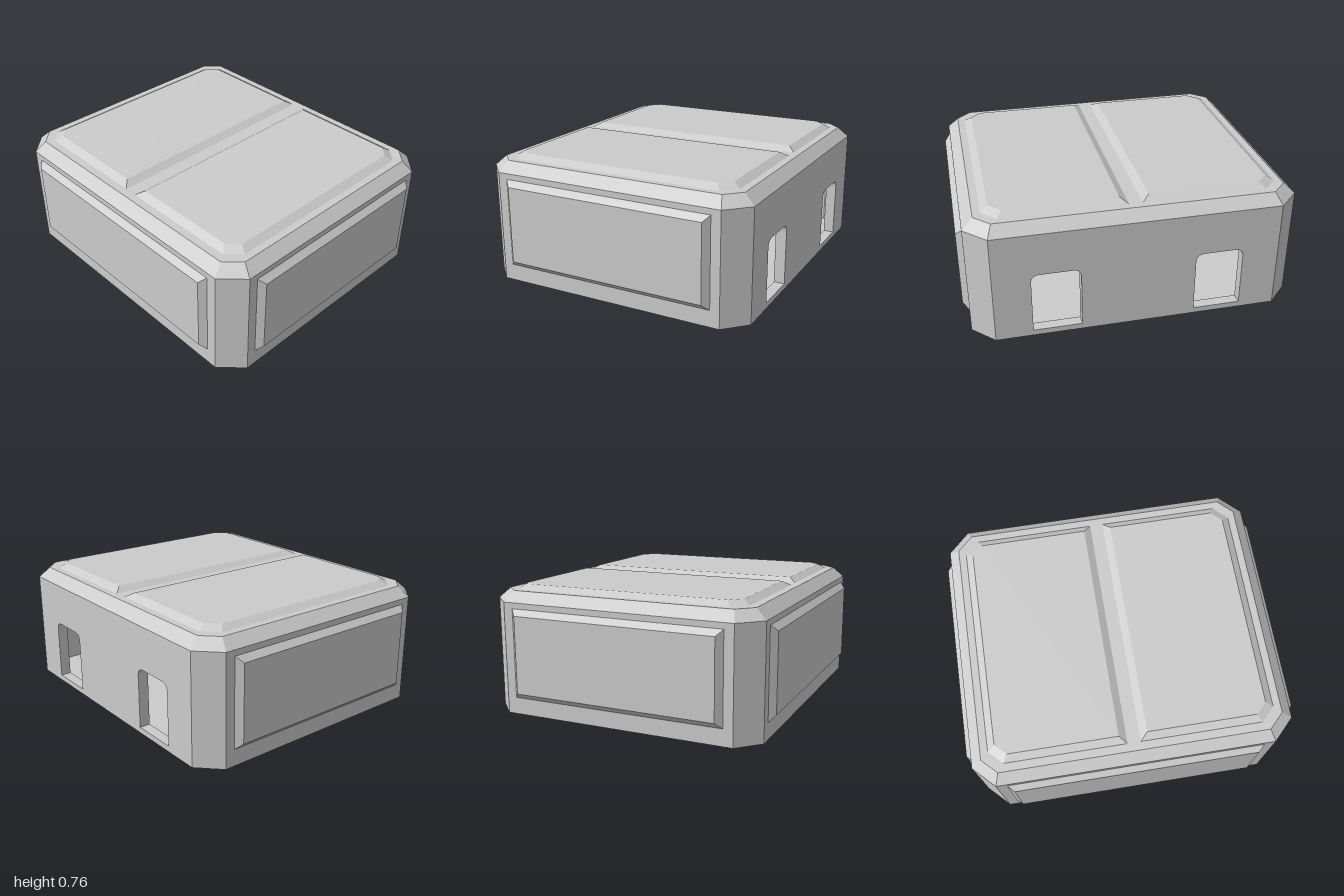
import * as THREE from 'three';

const material = new THREE.MeshStandardMaterial({ color: 0xcccccc, flatShading: true });

// Rectangle outline with chamfered corners on its right (cr) and left (cl) ends
function outline(x0, x1, z0, z1, cr = 0, cl = 0) {
  const right = cr
    ? [[x1 - cr, z1], [x1, z1 - cr], [x1, z0 + cr], [x1 - cr, z0]]
    : [[x1, z1], [x1, z0]];
  const left = cl
    ? [[x0 + cl, z0], [x0, z0 + cl], [x0, z1 - cl], [x0 + cl, z1]]
    : [[x0, z0], [x0, z1]];
  return [...right, ...left];
}

// Skin stacked outlines [{ y, pts }] and close both ends; skip leaves out one side of the first band
function loft(rings, { flip = false, skip = -1 } = {}) {
  const pos = [];
  const tri = (a, b, c) => pos.push(...a, ...(flip ? c : b), ...(flip ? b : c));
  const R = rings.map(({ y, pts }) => pts.map(([x, z]) => [x, y, z]));
  const n = R[0].length;
  for (let k = 0; k + 1 < R.length; k++) {
    for (let i = 0; i < n; i++) {
      if (k === 0 && i === skip) continue;
      const j = (i + 1) % n;
      tri(R[k][i], R[k][j], R[k + 1][j]);
      tri(R[k][i], R[k + 1][j], R[k + 1][i]);
    }
  }
  const first = R[0], last = R[R.length - 1];
  for (let i = 1; i + 1 < n; i++) {
    tri(last[0], last[i], last[i + 1]);
    tri(first[0], first[i + 1], first[i]);
  }
  const g = new THREE.BufferGeometry();
  g.setAttribute('position', new THREE.Float32BufferAttribute(pos, 3));
  g.computeVertexNormals();
  return g;
}

// Raised panel with bevelled edges
function bevelPanel(x0, x1, z0, z1, height, inset) {
  return loft([
    { y: 0, pts: outline(x0, x1, z0, z1) },
    { y: height, pts: outline(x0 + inset, x1 - inset, z0 + inset, z1 - inset) },
  ]);
}

// Building footprint, shrunk by an inset
function footprint(inset) {
  const c = 0.128 - inset * 0.586;
  return outline(-0.965 + inset, 0.965 - inset, -0.86 + inset, 0.825 - inset, c, c);
}

export function createModel() {
  const model = new THREE.Group();
  const add = (name, geometry) => {
    const mesh = new THREE.Mesh(geometry, material);
    mesh.name = name;
    model.add(mesh);
    return mesh;
  };
  const wall = 0.065, backEdge = 3;

  // Outer walls with sloped roof edge, open at the back
  add('outerShell', loft([
    { y: 0, pts: footprint(0) },
    { y: 0.67, pts: footprint(0) },
    { y: 0.73, pts: footprint(wall) },
  ], { skip: backEdge }));

  // Hollow interior: floor, walls and ceiling
  add('interior', loft([
    { y: 0.02, pts: footprint(wall) },
    { y: 0.635, pts: footprint(wall) },
    { y: 0.68, pts: footprint(wall + 0.05) },
  ], { flip: true, skip: backEdge }));

  // Back wall with two doorways
  const back = new THREE.Shape();
  back.moveTo(-0.837, 0).lineTo(0.837, 0).lineTo(0.837, 0.67).lineTo(-0.837, 0.67).closePath();
  const y0 = 0.035, y1 = 0.41, r = 0.05;
  for (const cx of [-0.478, 0.478]) {
    const a = cx - 0.142, b = cx + 0.142;
    const door = new THREE.Path();
    door.moveTo(a, y0).lineTo(a, y1 - r).quadraticCurveTo(a, y1, a + r, y1)
      .lineTo(b - r, y1).quadraticCurveTo(b, y1, b, y1 - r).lineTo(b, y0).closePath();
    back.holes.push(door);
  }
  add('backWall', new THREE.ExtrudeGeometry(back, { depth: wall, bevelEnabled: false, curveSegments: 5 }))
    .position.z = -0.86;

  // Raised wall panels: front, then both sides
  const front = bevelPanel(-0.775, 0.775, -0.635, -0.1, 0.035, 0.035);
  add('frontPanel', front.rotateX(Math.PI / 2)).position.z = 0.825;
  for (const s of [1, -1]) {
    const [a, b] = s > 0 ? [-0.64, 0.675] : [-0.675, 0.64];
    const side = bevelPanel(a, b, -0.635, -0.1, 0.035, 0.035);
    side.rotateX(Math.PI / 2).rotateY(s * Math.PI / 2);
    add(s > 0 ? 'leftPanel' : 'rightPanel', side).position.x = s * 0.965;
  }

  // Two roof panels with a groove between, chamfered at the outer corners
  for (const s of [1, -1]) {
    const half = (inset, c) => {
      const a = 0.04 + inset, b = 0.855 - inset, z0 = -0.75 + inset, z1 = 0.71 - inset;
      return s > 0 ? outline(a, b, z0, z1, c, 0) : outline(-b, -a, z0, z1, 0, c);
    };
    add(s > 0 ? 'leftRoofPanel' : 'rightRoofPanel', loft([
      { y: 0.73, pts: half(0, 0.083) },
      { y: 0.758, pts: half(0.045, 0.065) },
    ]));
  }
  return model;
}
